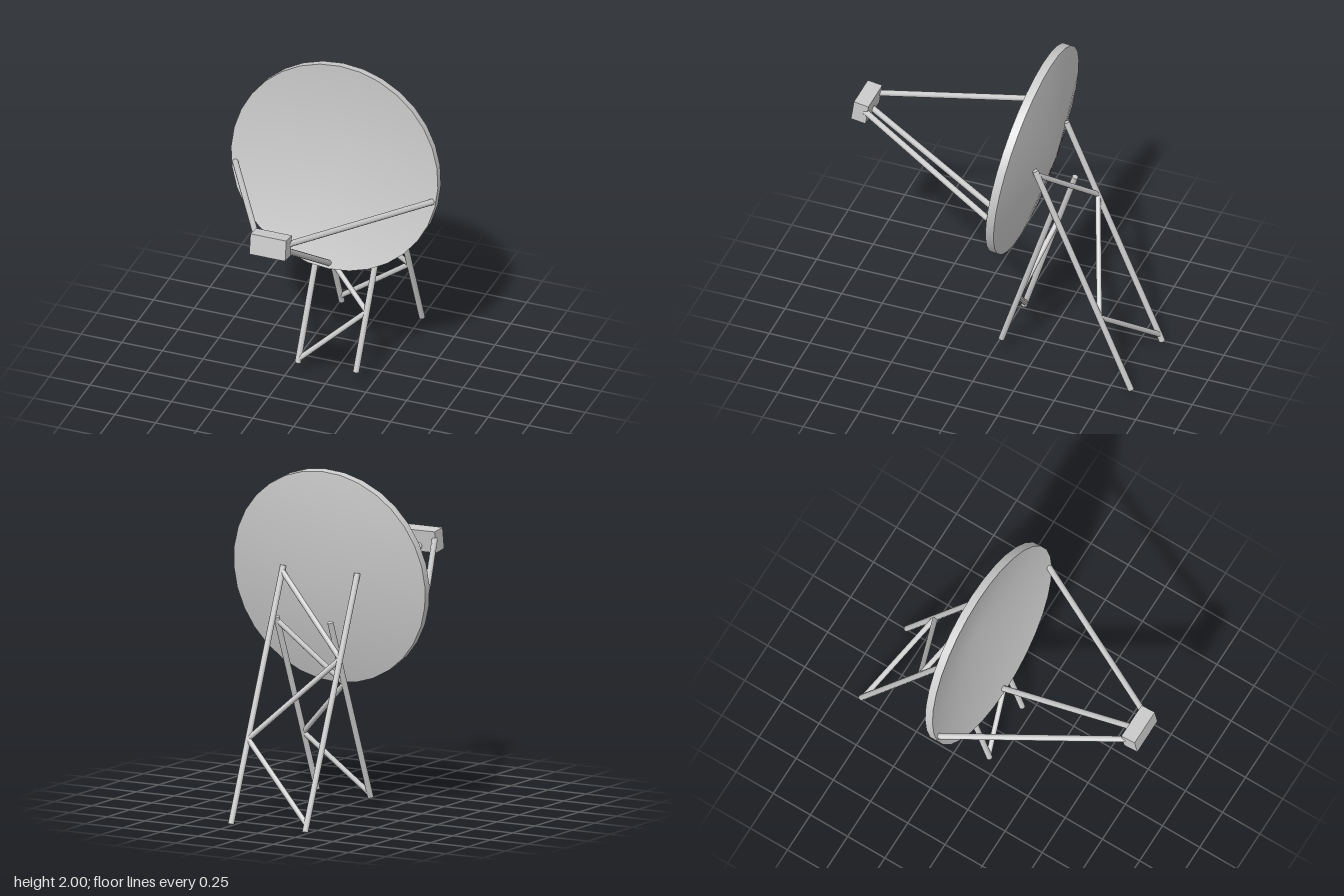
import * as THREE from 'three';
import { toCreasedNormals } from 'three/addons/utils/BufferGeometryUtils.js';

const TILT = -0.142;
const TUBE = 0.018;

export function createModel() {
  const model = new THREE.Group();
  model.name = 'dishAntenna';
  const material = new THREE.MeshStandardMaterial({ color: 0xcccccc });

  const add = (name, geometry) => {
    const mesh = new THREE.Mesh(geometry, material);
    mesh.name = name;
    model.add(mesh);
    return mesh;
  };

  // Straight round tube between two points
  const rod = (name, a, b, radius = TUBE) => {
    const dir = b.clone().sub(a);
    const mesh = add(name, new THREE.CylinderGeometry(radius, radius, dir.length(), 10));
    mesh.position.copy(a).addScaledVector(dir, 0.5);
    mesh.quaternion.setFromUnitVectors(new THREE.Vector3(0, 1, 0), dir.normalize());
  };
  const v = (x, y, z) => new THREE.Vector3(x, y, z);

  // Shallow conical dish with a thick rim, tipped slightly upward
  const profile = [[0, -0.175], [0.635, -0.05], [0.635, 0], [0, -0.12]];
  const dishGeometry = new THREE.LatheGeometry(profile.map(([r, h]) => new THREE.Vector2(r, h)), 32);
  dishGeometry.rotateX(Math.PI / 2);
  const dish = add('dish', toCreasedNormals(dishGeometry, 0.6));
  dish.position.set(0, 1.37, -0.145);
  dish.rotation.x = TILT;

  // Feed box held in front of the dish by three arms
  const feed = add('feedBox', new THREE.BoxGeometry(0.22, 0.127, 0.09));
  feed.position.set(-0.005, 1.418, 0.848);
  feed.rotation.x = TILT;
  rod('lowerFeedArm', v(-0.005, 0.775, -0.065), v(-0.005, 1.39, 0.82));
  for (const s of [-1, 1]) {
    rod('sideFeedArm', v(s * 0.605, 1.28, -0.135), v(s * 0.095 - 0.005, 1.425, 0.82));
  }

  // A pair of legs with zigzag braces; levels are fractions of leg height
  const legPair = (name, legs, levels) => {
    legs.forEach(([foot, top]) => rod(name + 'Leg', foot, top));
    const nodes = levels.map((t, i) => legs[i % 2][0].clone().lerp(legs[i % 2][1], t));
    for (let i = 1; i < nodes.length; i++) rod(name + 'Brace', nodes[i - 1], nodes[i], 0.016);
  };
  legPair('back', [
    [v(-0.24, 0.007, -0.875), v(-0.24, 1.42, -0.287)],
    [v(0.253, 0.007, -0.875), v(0.253, 1.42, -0.287)],
  ], [0.03, 0.33, 0.67, 0.98]);
  legPair('front', [
    [v(-0.187, 0.075, -0.048), v(-0.12, 1.14, -0.388)],
    [v(0.17, 0.09, -0.048), v(0.238, 1.14, -0.388)],
  ], [0.02, 0.33, 0.65, 0.98]);

  return model;
}
